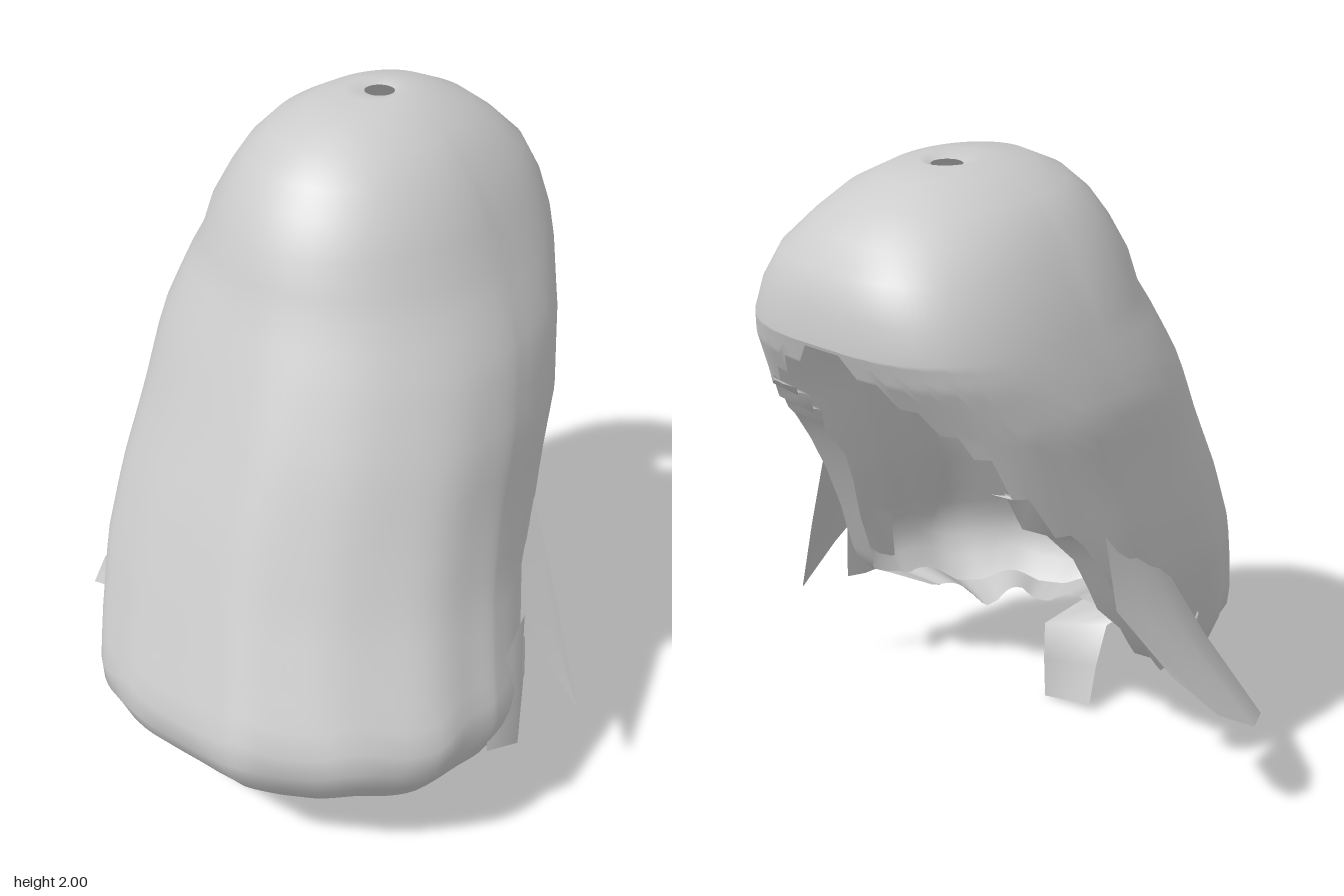
import * as THREE from 'three';

const cloth = new THREE.MeshStandardMaterial({ color: 0xcccccc, side: THREE.DoubleSide });
cloth.name = 'greyCloth';

// Cross-sections: y, centre x, half width, front z, centre z, back z
const RINGS = [
  [1.983, -0.06, 0.042, -0.253, -0.295, -0.337],
  [1.997, -0.06, 0.08, -0.18, -0.27, -0.37],
  [1.978, -0.06, 0.16, -0.03, -0.25, -0.48],
  [1.93, -0.06, 0.25, 0.075, -0.24, -0.59],
  [1.87, -0.06, 0.31, 0.145, -0.23, -0.67],
  [1.80, -0.055, 0.36, 0.20, -0.22, -0.73],
  [1.71, -0.055, 0.41, 0.25, -0.22, -0.76],
  [1.62, -0.05, 0.445, 0.28, -0.22, -0.765],
  [1.55, -0.045, 0.475, 0.305, -0.20, -0.74],
  [1.40, -0.03, 0.53, 0.37, -0.14, -0.65],
  [1.20, -0.005, 0.555, 0.455, -0.06, -0.57],
  [1.00, 0.0, 0.57, 0.54, 0.03, -0.46],
  [0.80, 0.02, 0.585, 0.62, 0.11, -0.36],
  [0.60, 0.07, 0.595, 0.70, 0.19, -0.26],
  [0.48, 0.105, 0.60, 0.75, 0.23, -0.21],
  [0.42, 0.11, 0.59, 0.765, 0.24, -0.19],
  [0.35, 0.115, 0.555, 0.74, 0.25, -0.16],
  [0.26, 0.12, 0.48, 0.67, 0.25, -0.12],
];
const DOME = 8; // rings that stay complete

// Hem height by angle from the front, in degrees
const HEM_LEFT = [[0, 0.27], [60, 0.27], [85, 0.33], [100, 0.40], [105, 0.5], [110, 0.85],
  [116, 1.13], [131, 1.32], [155, 1.42], [170, 1.54], [180, 1.61]];
const HEM_RIGHT = [[0, 0.27], [55, 0.28], [80, 0.36], [96, 0.42], [104, 0.55], [112, 0.75],
  [119, 1.02], [125, 1.07], [133, 1.07], [136, 1.28], [155, 1.42], [170, 1.54], [180, 1.61]];

const lerp = THREE.MathUtils.lerp;

function hemHeight(deg) {
  const table = deg < 0 ? HEM_RIGHT : HEM_LEFT, d = Math.abs(deg);
  let k = 1;
  while (k < table.length - 1 && table[k][0] < d) k++;
  const [a, b] = [table[k - 1], table[k]];
  return lerp(a[1], b[1], (d - a[0]) / (b[0] - a[0]));
}

function ringAt(y) {
  let k = DOME;
  while (k < RINGS.length - 1 && RINGS[k][0] > y) k++;
  const a = RINGS[k - 1], b = RINGS[k], t = (a[0] - y) / (a[0] - b[0]);
  return a.map((v, i) => lerp(v, b[i], t));
}

// Point on a cross-section: square back and right front corner, sloping left front corner
function pointOn(ring, angle) {
  const [y, cx, half, front, cz, back] = ring;
  const low = THREE.MathUtils.clamp((1.6 - y) / 1.15, 0, 1);
  const hood = THREE.MathUtils.clamp((1.98 - y) / 0.2, 0, 1);
  const s = Math.sin(angle), c = Math.cos(angle);
  let power = 1 - 0.3 * hood;
  if (c > 0) power = s > 0 ? 1 + 0.17 * low : 1 - 0.4 * Math.sqrt(low);
  const fold = 1 + low * (0.012 * Math.sin(7 * angle + 0.6) + 0.008 * Math.sin(13 * angle) - 0.01);
  const sx = Math.sign(s) * Math.abs(s) ** power, sz = Math.sign(c) * Math.abs(c) ** power;
  return [cx + half * sx * fold, y, cz + (c > 0 ? front - cz : cz - back) * sz * fold];
}

// Surface from rows of points, with shared vertices for smooth shading
function sheet(name, rows, closed = false) {
  const n = rows[0].length, index = [];
  for (let j = 0; j < rows.length - 1; j++) {
    for (let i = 0; i < (closed ? n : n - 1); i++) {
      const k = (i + 1) % n, a = j * n + i, b = a + n, c = (j + 1) * n + k, d = j * n + k;
      index.push(a, b, c, a, c, d);
    }
  }
  const geometry = new THREE.BufferGeometry();
  geometry.setAttribute('position', new THREE.Float32BufferAttribute(rows.flat(2), 3));
  geometry.setIndex(index);
  geometry.computeVertexNormals();
  const mesh = new THREE.Mesh(geometry, cloth);
  mesh.name = name;
  return mesh;
}

export function createModel() {
  const group = new THREE.Group();
  group.name = 'drapedSheet';

  // Main drape: closed dome with a hole, running down to an uneven hem, stepped at the back
  const columns = 120, drop = 20;
  const degrees = [], hems = [];
  for (let i = 0; i < columns; i++) {
    const deg = -180 + i * 360 / columns;
    const stepped = Math.abs(deg) > 120 ? Math.round(deg / 9) * 9 : deg;
    const wave = Math.abs(deg) < 100 ? 0.018 * Math.sin(deg * 0.19) : 0;
    degrees.push(deg);
    hems.push(Math.max(0.262, hemHeight(stepped) + wave));
  }
  const angles = degrees.map(THREE.MathUtils.degToRad);
  const rows = RINGS.slice(0, DOME).map(r => angles.map(a => pointOn(r, a)));
  for (let j = 1; j <= drop; j++) {
    rows.push(angles.map((a, i) => pointOn(ringAt(lerp(1.62, hems[i], j / drop)), a)));
  }
  group.add(sheet('drape', rows, true));

  // Strip of cloth joined to the hem between two angles, folded inwards by a rule
  const hem = rows[rows.length - 1];
  function foldedEdge(name, from, to, inward) {
    const picked = hem.map((p, i) => i).filter(i => degrees[i] >= from && degrees[i] <= to);
    group.add(sheet(name, [picked.map(i => hem[i]), picked.map(i => inward(hem[i], i))]));
  }
  foldedEdge('hemFold', -92, 95, (p, i) => {
    const wide = THREE.MathUtils.smoothstep(degrees[i], -30, 40);
    const pull = lerp(0.1, 0.3, wide) + 0.16 * Math.abs((i % 16) / 8 - 1);
    return [lerp(p[0], 0.1, pull), p[1] + 0.02, lerp(p[2], 0.2, pull)];
  });
  foldedEdge('leftSideFold', 98, 146, (p, i) => {
    const depth = 0.15 * Math.sin(Math.PI * (degrees[i] - 96) / 54) + 0.02 * (i % 3);
    return [p[0] - depth, p[1], p[2] - 0.15 * depth];
  });
  foldedEdge('rightSideFold', -140, -100, (p, i) => {
    const depth = 0.08 * Math.sin(Math.PI * (-degrees[i] - 98) / 46) + 0.015 * (i % 3);
    return [p[0] + depth, p[1], p[2] - 0.15 * depth];
  });

  // Strip running under the front hem and hanging down
  group.add(sheet('hangingStrip', [
    [[-0.06, 0.285, 0.65], [0.03, 0.28, 0.65], [0.115, 0.28, 0.64]],
    [[-0.06, 0.29, 0.46], [0.03, 0.28, 0.42], [0.115, 0.28, 0.36]],
    [[-0.058, 0.16, 0.41], [0.03, 0.15, 0.39], [0.113, 0.15, 0.355]],
    [[-0.06, 0.03, 0.375], [0.03, 0.015, 0.37], [0.115, 0, 0.365]],
  ]));

  // Flared flap and ragged corner on the right side
  group.add(sheet('rightFlap', [
    [[-0.53, 1.1, -0.23], [-0.545, 1.03, -0.16], [-0.55, 0.95, -0.06], [-0.55, 0.85, 0.04], [-0.53, 0.75, 0.14]],
    [[-0.57, 0.82, -0.21], [-0.58, 0.74, -0.08], [-0.61, 0.66, 0.05], [-0.61, 0.6, 0.17], [-0.53, 0.52, 0.24]],
    [[-0.70, 0.62, -0.12], [-0.78, 0.47, 0.0], [-0.81, 0.37, 0.15], [-0.77, 0.35, 0.25], [-0.57, 0.42, 0.3]],
  ]));
  group.add(sheet('rightTatter', [
    [[-0.56, 0.6, 0.2], [-0.54, 0.6, 0.25], [-0.5, 0.58, 0.3]],
    [[-0.58, 0.44, 0.24], [-0.5, 0.27, 0.31], [-0.42, 0.38, 0.32]],
  ]));

  // Pointed spike and short tatter on the left side
  group.add(sheet('leftSpike', [
    [[0.55, 0.95, -0.18], [0.59, 0.8, -0.06], [0.63, 0.64, 0.04]],
    [[0.68, 0.65, -0.12], [0.69, 0.6, -0.07], [0.69, 0.54, -0.01]],
    [[0.80, 0.36, -0.06], [0.80, 0.36, -0.06], [0.80, 0.355, -0.06]],
  ]));
  group.add(sheet('leftTatter', [
    [[0.64, 0.66, 0.0], [0.66, 0.64, 0.1], [0.655, 0.56, 0.22]],
    [[0.65, 0.42, 0.0], [0.725, 0.34, 0.16], [0.68, 0.36, 0.26]],
  ]));

  return group;
}
